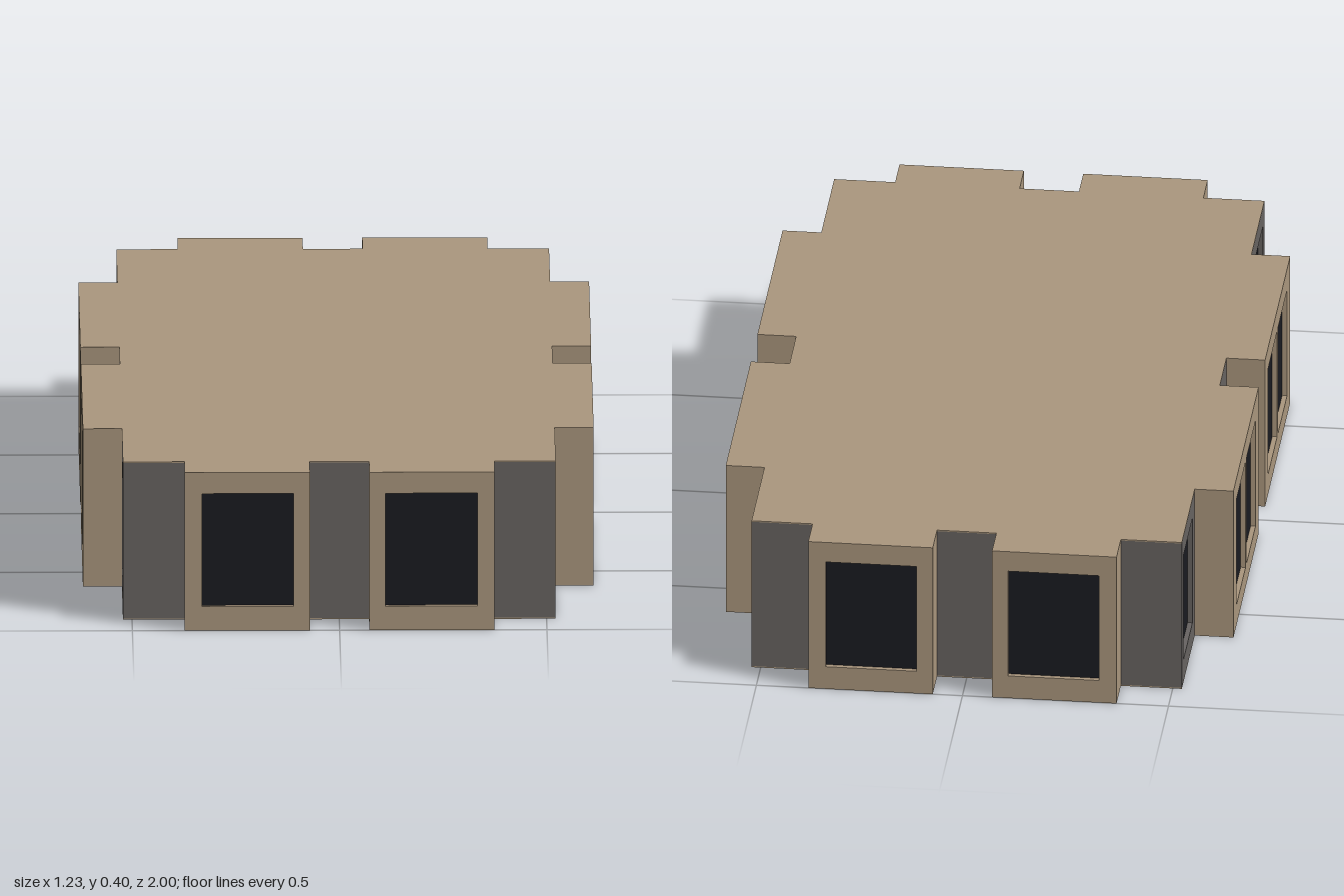
import * as THREE from 'three';

const H = 0.397, SLAB = 0.003, RECESS = 0.012, WALL = 0.02;
const CORE_X = 0.522, CORE_Z = 0.906, OUT_X = 0.616, OUT_Z = 1;

const tan = new THREE.MeshStandardMaterial({ color: 0xa8957c });
const grey = new THREE.MeshStandardMaterial({ color: 0x666260 });
const glass = new THREE.MeshStandardMaterial({ color: 0x191a20 });

function rectangle(Type, x0, x1, y0, y1) {
  const r = new Type();
  r.moveTo(x0, y0).lineTo(x1, y0).lineTo(x1, y1).lineTo(x0, y1).closePath();
  return r;
}

// Wall panel facing +z with recessed panes; windows are [x0, x1, y0, y1]
function panel(name, material, x0, x1, back, front, windows) {
  const group = new THREE.Group();
  group.name = name;
  const shape = rectangle(THREE.Shape, x0, x1, SLAB, H - SLAB);
  for (const w of windows) shape.holes.push(rectangle(THREE.Path, ...w));
  const frame = new THREE.Mesh(
    new THREE.ExtrudeGeometry(shape, { depth: front - back, bevelEnabled: false }), material);
  frame.name = name + 'Frame';
  frame.position.z = back;
  group.add(frame);
  for (const [a, b, c, d] of windows) {
    const pane = new THREE.Mesh(new THREE.BoxGeometry(b - a, d - c, 0.004), glass);
    pane.name = 'windowPane';
    pane.position.set((a + b) / 2, (c + d) / 2, front - RECESS - 0.002);
    group.add(pane);
  }
  return group;
}

const mirrored = ([a, b, c, d]) => [-b, -a, c, d];

// One side of the building: core wall plus a mirrored pair of bays
function facade({ name, half, core, out, bay, bayWindows, coreWindows }) {
  const group = new THREE.Group();
  group.name = name;
  group.add(panel('coreWall', grey, -half, half, core - WALL, core,
    [...coreWindows, ...coreWindows.map(mirrored)]));
  group.add(panel('leftBay', tan, bay[0], bay[1], core, out, bayWindows));
  group.add(panel('rightBay', tan, -bay[1], -bay[0], core, out, bayWindows.map(mirrored)));
  return group;
}

// Stepped plan: one quadrant mirrored into all four
function planShape() {
  const q = [[OUT_X, 0.072], [OUT_X, 0.623], [CORE_X, 0.623], [CORE_X, CORE_Z],
    [0.374, CORE_Z], [0.374, OUT_Z], [0.072, OUT_Z], [0.072, CORE_Z]];
  const first = [[CORE_X, 0.072], ...q];
  const back = [...first].reverse();
  const points = [
    ...first,
    ...back.map(([x, y]) => [-x, y]),
    ...first.map(([x, y]) => [-x, -y]),
    ...back.map(([x, y]) => [x, -y]),
  ];
  return new THREE.Shape(points.map(([x, y]) => new THREE.Vector2(x, y)));
}

export function createModel() {
  const model = new THREE.Group();
  model.name = 'building';

  // Roof and floor slabs
  for (const [name, y] of [['roof', H - SLAB], ['floor', 0]]) {
    const geometry = new THREE.ExtrudeGeometry(planShape(), { depth: SLAB, bevelEnabled: false });
    geometry.rotateX(-Math.PI / 2);
    const slab = new THREE.Mesh(geometry, tan);
    slab.name = name;
    slab.position.y = y;
    model.add(slab);
  }

  // Short ends: single-window bays
  const end = {
    half: CORE_X, core: CORE_Z, out: OUT_Z, bay: [0.072, 0.374],
    bayWindows: [[0.111, 0.332, 0.06, 0.344]], coreWindows: [],
  };
  // Long sides: double-window bays and a window near each corner
  const side = {
    half: CORE_Z - WALL, core: CORE_X, out: OUT_X, bay: [0.072, 0.623],
    bayWindows: [[0.138, 0.336, 0.054, 0.341], [0.357, 0.555, 0.054, 0.341]],
    coreWindows: [[0.673, 0.87, 0.06, 0.344]],
  };
  [['front', end], ['leftSide', side], ['back', end], ['rightSide', side]].forEach(([name, spec], i) => {
    const f = facade({ name, ...spec });
    f.rotation.y = i * Math.PI / 2;
    model.add(f);
  });
  return model;
}
